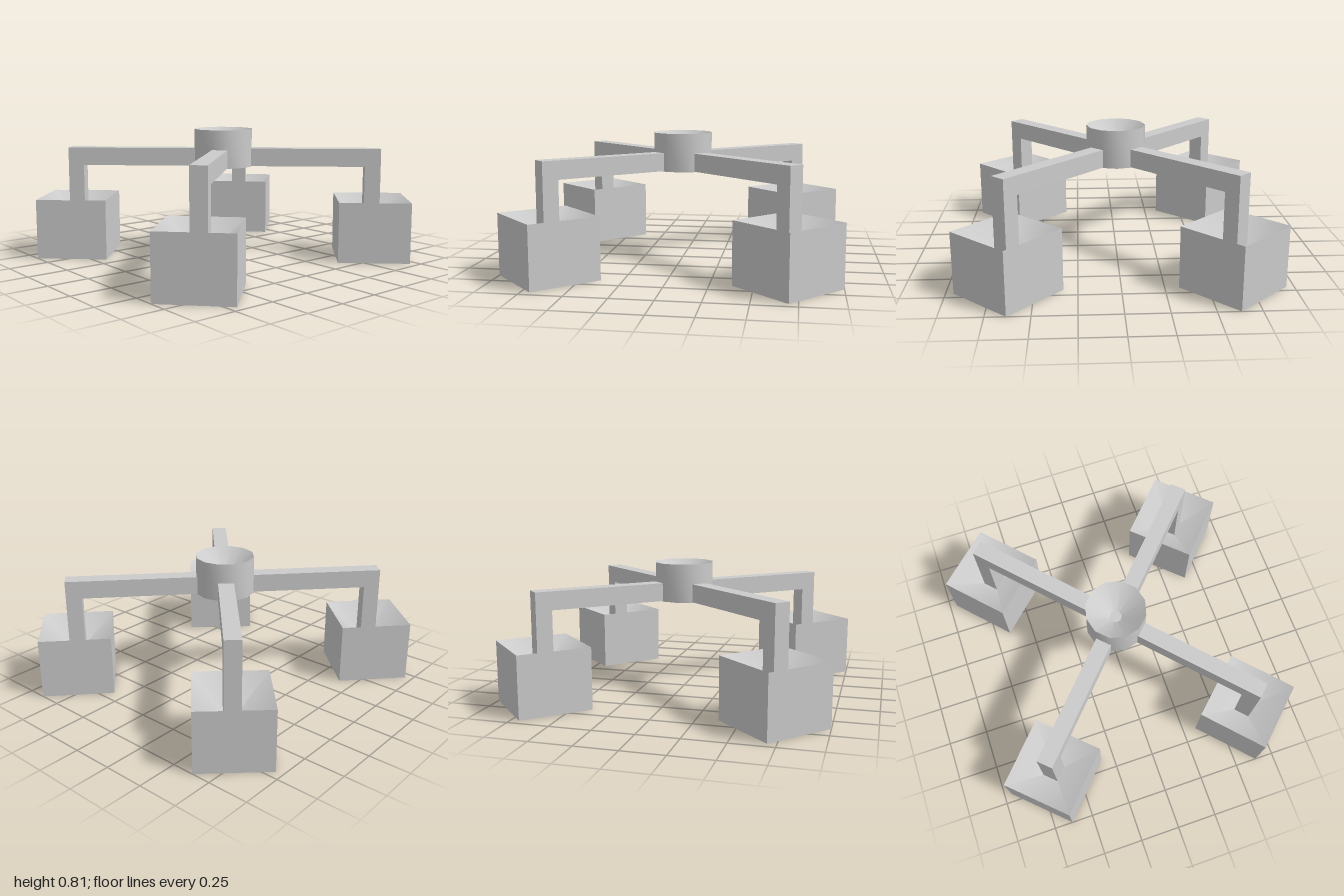
import * as THREE from 'three';
import { toCreasedNormals } from 'three/addons/utils/BufferGeometryUtils.js';

const material = new THREE.MeshStandardMaterial({ color: 0xcccccc });
const REACH_X = 0.644, REACH_Z = 0.689; // post position
const REACH = Math.hypot(REACH_X, REACH_Z);
const HALF = 0.049; // half width of arm and post

// Revolve a profile with few sides, smooth below the crease angle
function turned(points, sides, phiStart, crease) {
  const profile = points.map(([r, y]) => new THREE.Vector2(r, y));
  return toCreasedNormals(new THREE.LatheGeometry(profile, sides, phiStart), crease);
}

function part(name, geometry) {
  const mesh = new THREE.Mesh(geometry, material);
  mesh.name = name;
  return mesh;
}

export function createModel() {
  const model = new THREE.Group();
  model.name = 'fourArmCeilingLight';

  // Twelve-sided hub with a conical hollow in its top
  model.add(part('hub', turned(
    [[0, 0.575], [0.185, 0.575], [0.185, 0.812], [0, 0.66]], 12, 0, Math.PI / 3.5)));

  // L-shaped arm: horizontal bar and the post dropping into the shade
  const outline = new THREE.Shape([
    [0, 0.578], [REACH - HALF, 0.578], [REACH - HALF, 0.2],
    [REACH + HALF, 0.2], [REACH + HALF, 0.69], [0, 0.69],
  ].map(([x, y]) => new THREE.Vector2(x, y)));
  const armGeometry = new THREE.ExtrudeGeometry(outline, { depth: HALF * 2, bevelEnabled: false });
  armGeometry.translate(0, 0, -HALF);

  // Square shade, hollowed from above and below towards its middle
  const shadeGeometry = turned(
    [[0, 0.188], [0.311, 0], [0.311, 0.375], [0, 0.188]], 4, Math.PI / 4, Math.PI / 3);

  for (const sx of [1, -1]) {
    for (const sz of [1, -1]) {
      const branch = new THREE.Group();
      branch.name = (sz > 0 ? 'front' : 'back') + (sx > 0 ? 'Left' : 'Right') + 'Branch';
      const shade = part('shade', shadeGeometry);
      shade.position.x = REACH;
      branch.add(part('arm', armGeometry), shade);
      branch.rotation.y = -Math.atan2(sz * REACH_Z, sx * REACH_X);
      model.add(branch);
    }
  }
  return model;
}
